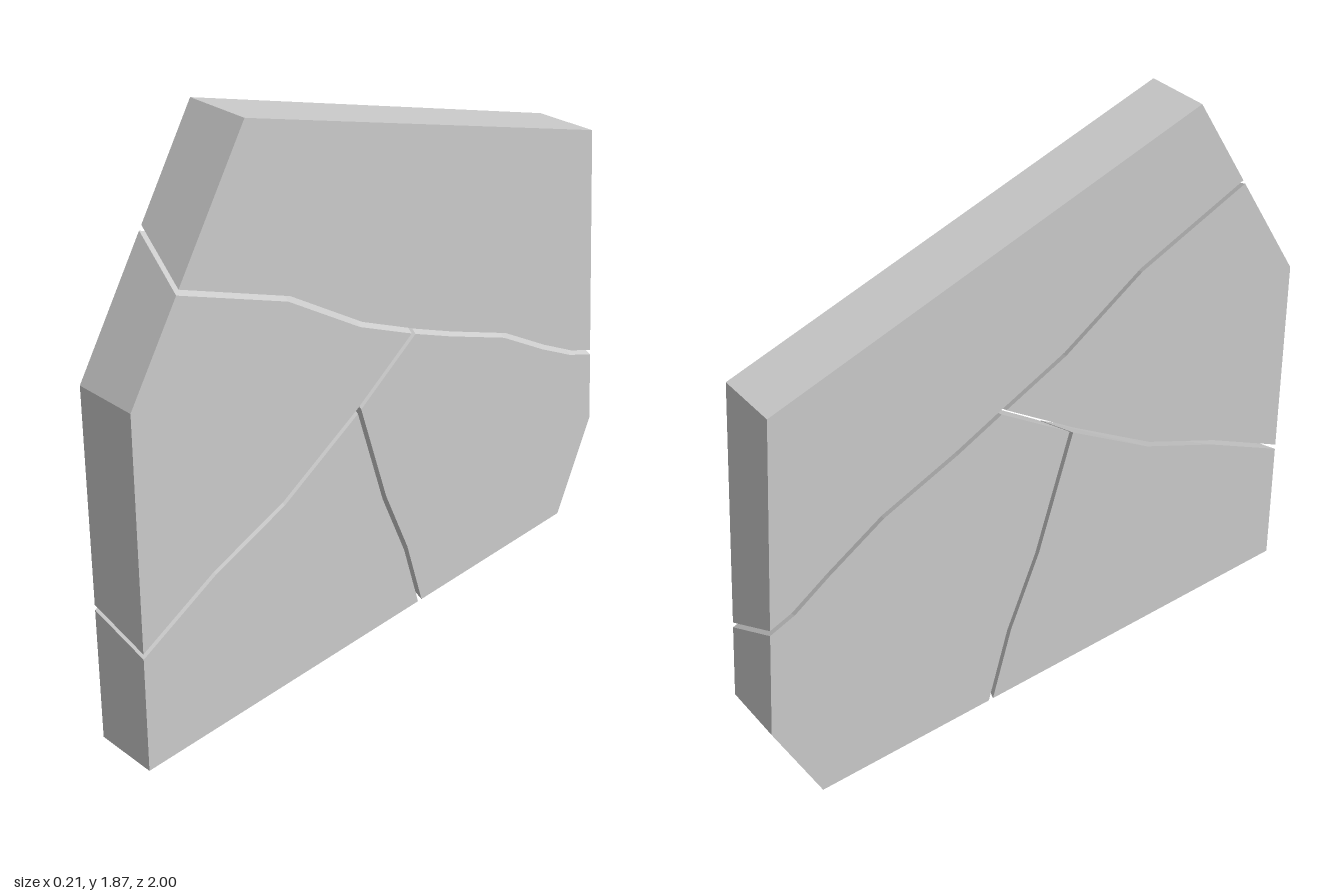
import * as THREE from 'three';

const HALF = 0.105; // half thickness of the slab
const GAP = 0.008;  // half width of a crack

// Crack paths: [z, y] on the +x face, then [z, y] on the -x face
const J = [-0.10, 1.01, -0.16, 1.115]; // main junction
const T = [0.14, 0.84, 0.10, 0.935];   // lower junction
const upperFront = [[0.799, 1.465, 0.741, 1.56], [0.41, 1.305, 0.35, 1.40], [0.13, 1.12, 0.07, 1.22], J];
const upperRear = [J, [-0.26, 0.94, -0.32, 1.04], [-0.52, 0.835, -0.58, 0.935], [-0.72, 0.715, -0.77, 0.82],
  [-0.87, 0.635, -0.89, 0.74], [-0.978, 0.595, -0.969, 0.71]];
const middle = [J, T];
const lowerFront = [T, [0.45, 0.655, 0.41, 0.74], [0.72, 0.55, 0.69, 0.62], [0.991, 0.405, 0.99, 0.465]];
const lowerDown = [T, [0.03, 0.48, -0.03, 0.52], [-0.07, 0.24, -0.14, 0.26], [-0.14, 0, -0.215, 0]];

const back = (path) => [...path].reverse();
const join = (...paths) => paths.flatMap((p, i) => (i ? p.slice(1) : p));

// Move the first crackEdges edges of a polygon inwards to open the crack
function inset(points, crackEdges) {
  const n = points.length;
  const edges = points.map((p, i) => {
    const d = points[(i + 1) % n].clone().sub(p).normalize();
    return { nx: -d.y, ny: d.x, d: i < crackEdges ? GAP : 0 };
  });
  return points.map((p, i) => {
    const a = edges[(i + n - 1) % n], b = edges[i];
    const det = a.nx * b.ny - a.ny * b.nx;
    if (Math.abs(det) < 1e-3) return new THREE.Vector2(p.x + b.nx * b.d, p.y + b.ny * b.d);
    return new THREE.Vector2(
      p.x + (a.d * b.ny - b.d * a.ny) / det,
      p.y + (a.nx * b.d - b.nx * a.d) / det);
  });
}

// One fragment: cracked border followed by outer corners, lofted from face to face
function fragment(name, crack, corners) {
  const outline = [...crack, ...corners.map(([z, y]) => [z, y, z, y])];
  const rings = [0, 2].map((k) =>
    inset(outline.map((p) => new THREE.Vector2(-p[k], p[k + 1])), crack.length - 1));
  const positions = [];
  const put = (side, i) => positions.push(side ? -HALF : HALF, rings[side][i].y, -rings[side][i].x);

  // Broad faces
  for (const side of [0, 1]) {
    for (const [a, b, c] of THREE.ShapeUtils.triangulateShape(rings[side], [])) {
      (side ? [a, c, b] : [a, b, c]).forEach((i) => put(side, i));
    }
  }
  // Edge walls
  outline.forEach((_, i) => {
    const j = (i + 1) % outline.length;
    [[0, i], [1, i], [1, j], [0, i], [1, j], [0, j]].forEach(([s, v]) => put(s, v));
  });

  const geometry = new THREE.BufferGeometry();
  geometry.setAttribute('position', new THREE.Float32BufferAttribute(positions, 3));
  geometry.computeVertexNormals();
  const mesh = new THREE.Mesh(geometry, new THREE.MeshStandardMaterial({ color: 0xcccccc, flatShading: true }));
  mesh.name = name;
  return mesh;
}

export function createModel() {
  const slab = new THREE.Group();
  slab.name = 'crackedSlab';
  slab.add(
    fragment('topFragment', join(upperFront, upperRear), [[-0.91, 1.42], [0.55, 1.87]]),
    fragment('frontFragment', join(back(lowerFront), back(middle), back(upperFront)), [[0.975, 1.18]]),
    fragment('bottomFrontFragment', join(back(lowerDown), lowerFront), [[1, 0]]),
    fragment('bottomRearFragment', join(back(upperRear), middle, lowerDown), [[-0.85, 0], [-1, 0.33]]),
  );
  return slab;
}
